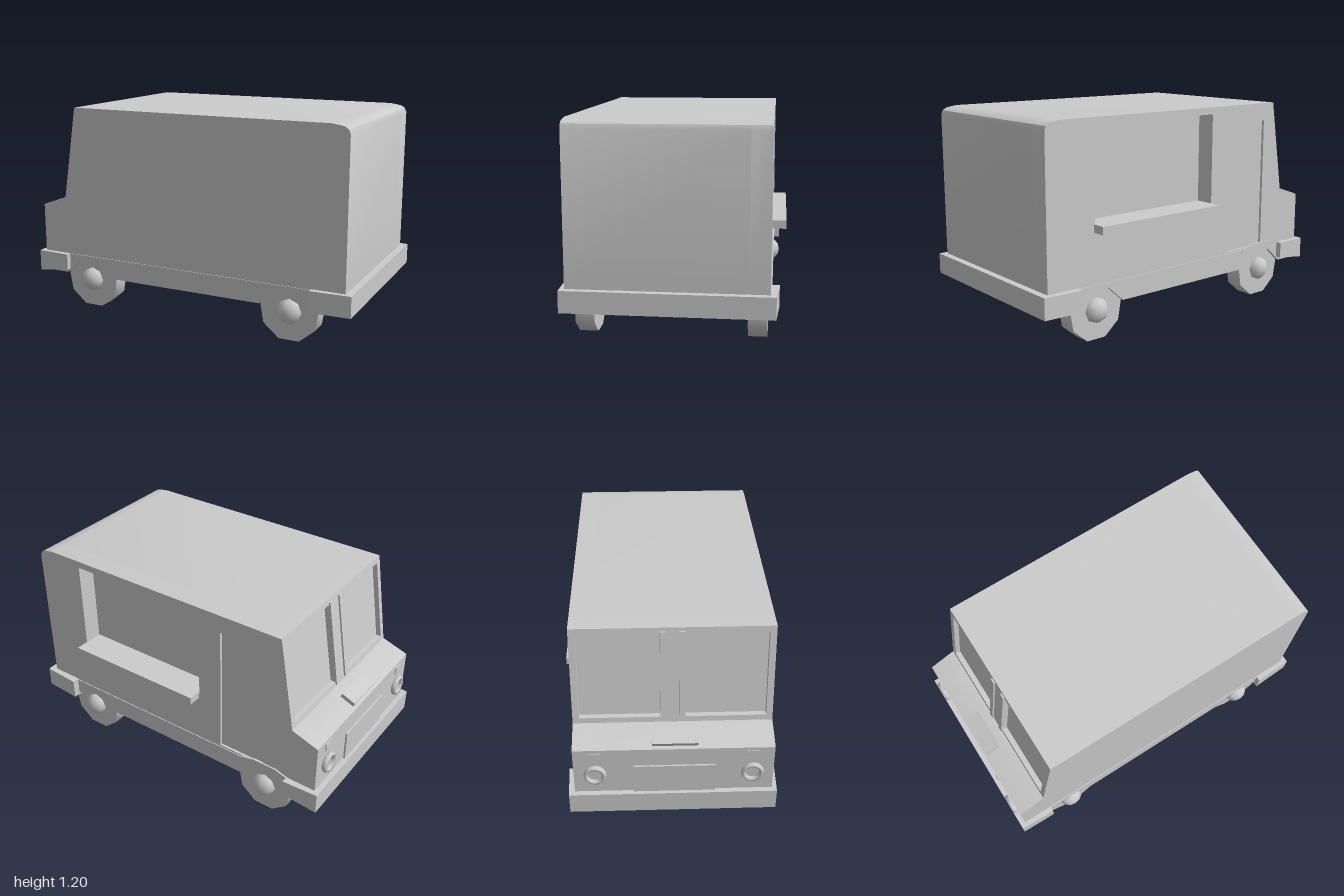
import * as THREE from 'three';
import { toCreasedNormals } from 'three/addons/utils/BufferGeometryUtils.js';

const material = new THREE.MeshStandardMaterial({ color: 0xcccccc });
const MID = 0.015; // centre line of the truck in z

const polygon = (points) => new THREE.Shape(points.map(([x, y]) => new THREE.Vector2(x, y)));
const rectangle = (x0, y0, x1, y1) => polygon([[x0, y0], [x1, y0], [x1, y1], [x0, y1]]);

// Extrude an x-y outline from z0 to z1
function slab(shape, z0, z1) {
  const g = new THREE.ExtrudeGeometry(shape, { depth: z1 - z0, bevelEnabled: false });
  return g.translate(0, 0, z0);
}

// Extrude a z-y outline from x0 to x1, leaning back by the windscreen slope
function leaningSlab(shape, x0, x1) {
  const g = slab(shape, 0, x1 - x0).rotateY(-Math.PI / 2).translate(x1, 0, 0);
  const p = g.attributes.position;
  for (let i = 0; i < p.count; i++) p.setX(i, p.getX(i) + (p.getY(i) - 0.655) * 0.165);
  g.computeVertexNormals();
  return g;
}

// Extrude an x-z plan from y0 to y1
const planSlab = (points, y0, y1) =>
  slab(polygon(points.map(([x, z]) => [x, -z])), 0, y1 - y0).rotateX(-Math.PI / 2).translate(0, y0, 0);

function boxBetween(x0, x1, y0, y1, z0, z1) {
  return new THREE.BoxGeometry(x1 - x0, y1 - y0, z1 - z0)
    .translate((x0 + x1) / 2, (y0 + y1) / 2, (z0 + z1) / 2);
}

export function createModel() {
  const truck = new THREE.Group();
  truck.name = 'foodTruck';
  const add = (name, geometry) => {
    const mesh = new THREE.Mesh(geometry, material);
    mesh.name = name;
    truck.add(mesh);
    return mesh;
  };

  // Body: side outline, with a thick serving-side wall that has openings
  const outline = [
    [-0.97, 0.3], [0.96, 0.3], [0.96, 1.15], [0.95, 1.175], [0.925, 1.19], [0.86, 1.2],
    [-0.69, 1.2], [-0.78, 0.655], [-0.81, 0.655], [-0.97, 0.6],
  ];
  add('body', toCreasedNormals(slab(polygon(outline), -0.41, 0.55), 0.6));
  const wall = polygon(outline);
  wall.holes.push(rectangle(-0.2, 0.62, 0.655, 1.16), rectangle(-0.64, 0.32, -0.345, 1.095));
  add('servingSideWall', toCreasedNormals(slab(wall, -0.52, -0.41), 0.6));
  add('door', boxBetween(-0.645, -0.34, 0.315, 1.1, -0.505, -0.4));
  add('servingShelf', boxBetween(-0.195, 0.66, 0.595, 0.64, -0.595, -0.41));

  // Windscreen frame with two openings and a pair of centre strips
  const frame = rectangle(-0.52, 0.655, 0.55, 1.2);
  frame.holes.push(rectangle(-0.485, 0.685, -0.05, 1.165), rectangle(0.08, 0.685, 0.515, 1.165));
  add('windscreenFrame', leaningSlab(frame, -0.81, -0.775));
  for (const z of [-0.035, 0.065]) {
    add('windscreenStrip', leaningSlab(rectangle(z - 0.016, 0.67, z + 0.016, 1.18), -0.82, -0.78));
  }

  // Lower skirt with wheel wells running right across
  const skirt = [[-0.97, 0.31], [-0.97, 0.19]];
  for (const x of [-0.64, 0.64]) {
    skirt.push([x - 0.17, 0.19], [x - 0.07, 0.28], [x + 0.04, 0.275], [x + 0.15, 0.19]);
  }
  skirt.push([0.97, 0.19], [0.97, 0.31]);
  add('skirt', slab(polygon(skirt), -0.525, 0.555));
  add('archFlare', slab(polygon([
    [-0.8, 0.29], [-0.71, 0.28], [-0.6, 0.28], [-0.47, 0.29],
    [-0.47, 0.31], [-0.58, 0.335], [-0.72, 0.335], [-0.8, 0.31],
  ]), -0.529, -0.515));

  // Wrap-around bumpers
  const frontBumper = add('frontBumper', planSlab(
    [[-1, -0.55], [-1, 0.575], [-0.79, 0.585], [-0.79, -0.56]], 0.185, 0.31));
  const p = frontBumper.geometry.attributes.position;
  for (let i = 0; i < p.count; i++) {
    if (p.getY(i) < 0.2 && p.getX(i) > -0.9) p.setY(i, 0.215);
  }
  frontBumper.geometry.computeVertexNormals();
  add('rearBumper', planSlab([[0.77, -0.565], [0.77, 0.585], [1, 0.575], [1, -0.55]], 0.195, 0.315));

  // Wheels: nine-sided tyres with domed hubs
  for (const x of [-0.64, 0.64]) {
    for (const side of [-1, 1]) {
      const wheel = new THREE.Group();
      wheel.name = (x < 0 ? 'front' : 'rear') + 'Wheel';
      wheel.position.set(x, 0.164, MID + side * 0.467);
      const tyre = new THREE.Mesh(toCreasedNormals(
        new THREE.CylinderGeometry(0.174, 0.174, 0.105, 9).rotateX(Math.PI / 2), 0.8), material);
      tyre.name = 'tyre';
      tyre.rotation.z = Math.PI;
      const hub = new THREE.Mesh(new THREE.SphereGeometry(0.073, 8, 6).rotateX(Math.PI / 2), material);
      hub.name = 'hub';
      hub.scale.z = 0.8;
      hub.position.z = side * 0.05;
      wheel.add(tyre, hub);
      truck.add(wheel);
    }
  }

  // Nose: ringed headlights, indicators, grille panel and bonnet vent
  for (const side of [-1, 1]) {
    const z = MID + side * 0.42;
    const ring = add('headlightRing', new THREE.TorusGeometry(0.049, 0.013, 6, 16).rotateY(Math.PI / 2));
    ring.position.set(-0.982, 0.44, z);
    ring.scale.x = 1.4;
    const lens = add('headlightLens', new THREE.CylinderGeometry(0.045, 0.045, 0.014, 16).rotateZ(Math.PI / 2));
    lens.position.set(-0.973, 0.44, z);
    add('indicator', boxBetween(-0.976, -0.96, 0.53, 0.58, z - 0.03, z + 0.03));
  }
  add('grillePanel', boxBetween(-0.98, -0.96, 0.31, 0.49, -0.2, 0.24));
  const vent = add('bonnetVent', new THREE.BoxGeometry(0.09, 0.025, 0.245));
  vent.position.set(-0.915, 0.637, 0.022);
  vent.rotation.z = 0.4;

  return truck;
}
